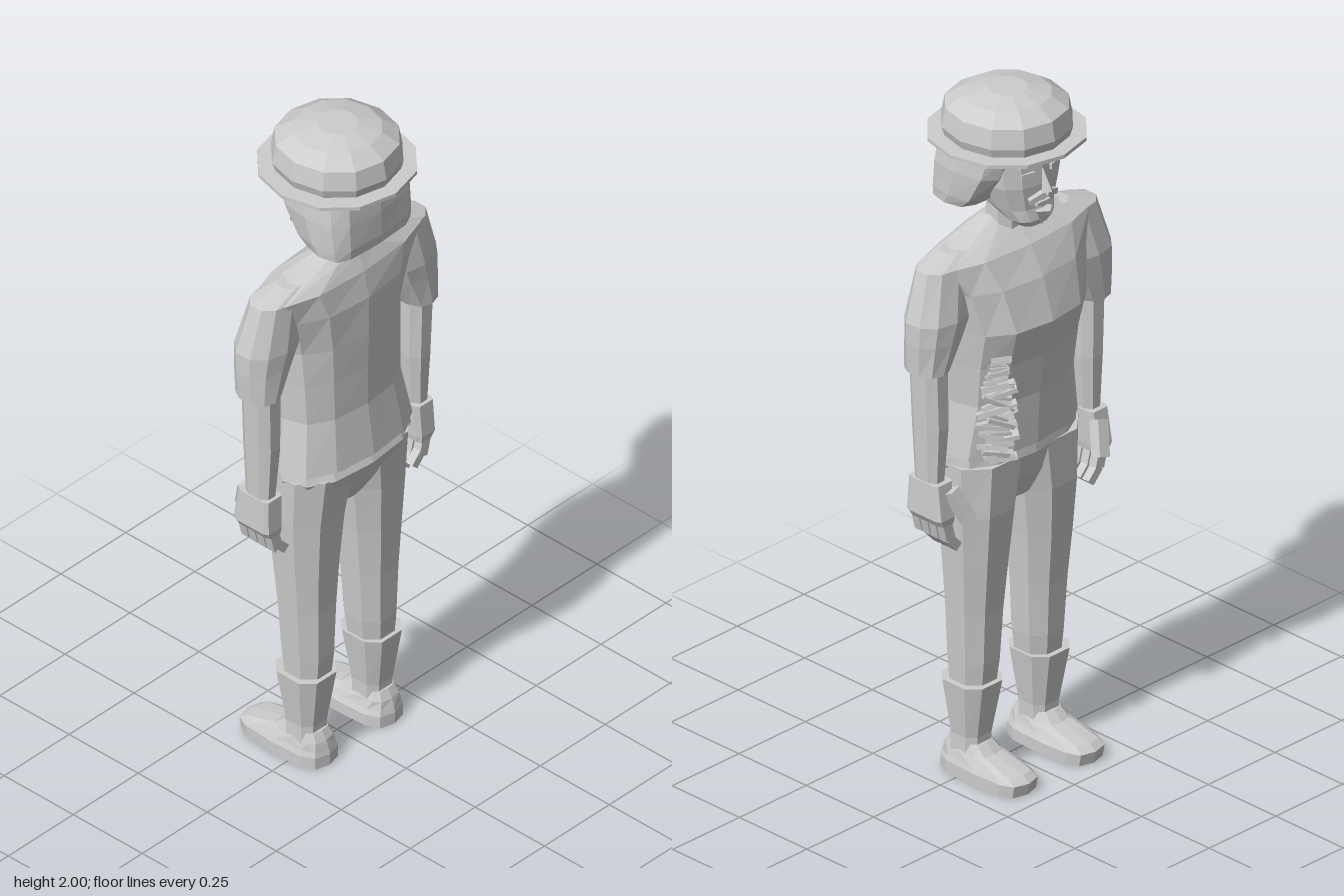
import * as THREE from 'three';

const gray = new THREE.MeshStandardMaterial({ color: 0xcccccc, flatShading: true });
gray.name = 'light gray';

// Horizontal ring, running from back (+z) round through +x; e below 1 makes it boxier
function ring(y, x0, x1, zBack, zFront, n = 12, e = 0.8) {
  const pow = v => Math.sign(v) * Math.pow(Math.abs(v) < 1e-9 ? 0 : Math.abs(v), e);
  return Array.from({ length: n }, (_, i) => {
    const a = ((i + (n === 8 ? 0.5 : 0)) / n) * Math.PI * 2;
    return [
      (x0 + x1) / 2 + (pow(Math.sin(a)) * (x1 - x0)) / 2,
      y,
      (zBack + zFront) / 2 + (pow(Math.cos(a)) * (zBack - zFront)) / 2,
    ];
  });
}

// Closed faceted skin over rings given from bottom to top
function loft(rings) {
  const p = [], n = rings[0].length;
  const tri = (...v) => v.forEach(q => p.push(...q));
  for (let i = 0; i < rings.length - 1; i++)
    for (let j = 0; j < n; j++) {
      const k = (j + 1) % n, [l, u] = [rings[i], rings[i + 1]];
      tri(l[j], l[k], u[k]);
      tri(l[j], u[k], u[j]);
    }
  const top = rings[rings.length - 1], low = rings[0];
  for (let j = 1; j < n - 1; j++) {
    tri(top[0], top[j], top[j + 1]);
    tri(low[0], low[j + 1], low[j]);
  }
  const g = new THREE.BufferGeometry();
  g.setAttribute('position', new THREE.Float32BufferAttribute(p, 3));
  g.computeVertexNormals();
  return g;
}

function add(parent, name, geometry, pos = [0, 0, 0], rot = [0, 0, 0]) {
  const m = new THREE.Mesh(geometry, gray);
  m.name = name;
  m.position.set(...pos);
  m.rotation.set(...rot);
  parent.add(m);
  return m;
}

const box = (x, y, z) => new THREE.BoxGeometry(x, y, z);
const stack = (rows, n, e) => loft(rows.map(r => ring(...r, n, e)));
// Rows of [y, halfWidth, back, front]
const body = (rows, n, e) => stack(rows.map(([y, w, b, f]) => [y, -w, w, b, f]), n, e);

function buildHead() {
  const head = new THREE.Group();
  head.name = 'head';
  add(head, 'neck', body([[1.56, 0.06, 0.055, -0.05], [1.72, 0.055, 0.05, -0.045]], 8));
  add(head, 'face', body([
    [1.635, 0.045, -0.06, -0.125], [1.655, 0.07, -0.03, -0.135], [1.69, 0.09, 0.03, -0.13],
    [1.76, 0.115, 0.06, -0.135], [1.87, 0.125, 0.08, -0.13],
  ], 12));
  // Long bobbed hair, cut back towards the jaw
  add(head, 'hair', body([
    [1.68, 0.155, 0.155, 0.005], [1.71, 0.16, 0.16, -0.035],
    [1.79, 0.163, 0.16, -0.09], [1.87, 0.155, 0.155, -0.12],
  ], 12, 0.55));
  add(head, 'nose', new THREE.ConeGeometry(0.02, 0.07, 4), [0, 1.775, -0.14], [0.25, 0, 0]);
  add(head, 'mouth', box(0.05, 0.009, 0.01), [0, 1.703, -0.133]);
  add(head, 'goatee', new THREE.ConeGeometry(0.03, 0.05, 5), [0, 1.66, -0.13], [Math.PI, 0, 0]);
  for (const s of [-1, 1]) {
    add(head, 'eyebrow', box(0.055, 0.013, 0.02), [s * 0.05, 1.825, -0.126], [0, s * -0.25, s * 0.2]);
    add(head, 'eye', box(0.042, 0.016, 0.008), [s * 0.05, 1.797, -0.127], [0, s * -0.25, 0]);
    add(head, 'moustache', box(0.05, 0.016, 0.02), [s * 0.025, 1.727, -0.135], [0, s * -0.25, s * -0.3]);
  }
  // Round hat with a narrow brim
  add(head, 'hatBrim', body([[1.863, 0.213, 0.213, -0.213], [1.874, 0.213, 0.213, -0.213]], 12, 0.95));
  add(head, 'hatCrown', body([
    [1.87, 0.165, 0.17, -0.17], [1.9, 0.175, 0.178, -0.178], [1.955, 0.165, 0.168, -0.168],
    [1.985, 0.12, 0.12, -0.12], [2, 0.055, 0.055, -0.055],
  ], 12, 0.95));
  return head;
}

function buildArm() {
  const arm = new THREE.Group();
  arm.name = 'arm';
  add(arm, 'sleeve', stack([
    [1.27, 0.25, 0.355, 0.062, -0.065], [1.36, 0.2, 0.362, 0.065, -0.075],
    [1.42, 0.17, 0.362, 0.07, -0.08], [1.56, 0.15, 0.32, 0.06, -0.055],
    [1.585, 0.1, 0.23, 0.05, -0.03],
  ], 10, 0.9));
  add(arm, 'forearm', stack([
    [0.92, 0.265, 0.32, 0.04, -0.045], [1.1, 0.25, 0.328, 0.052, -0.055], [1.3, 0.25, 0.338, 0.055, -0.055],
  ], 8));
  add(arm, 'palm', stack([
    [0.82, 0.265, 0.315, 0.052, -0.072], [0.84, 0.262, 0.328, 0.055, -0.075], [0.94, 0.258, 0.325, 0.05, -0.06],
  ], 8, 0.3));
  for (let i = 0; i < 4; i++) {
    const z = 0.037 - i * 0.031, drop = i === 0 ? 0.015 : 0;
    add(arm, 'finger', box(0.032, 0.065, 0.026), [0.287, 0.805, z], [0, 0, -0.25]);
    add(arm, 'fingertip', box(0.026, 0.05, 0.024), [0.264, 0.757 + drop, z], [0, 0, -0.75]);
  }
  add(arm, 'thumb', box(0.035, 0.1, 0.035), [0.262, 0.875, -0.085], [0.4, 0, -0.3]);
  return arm;
}

function buildLeg() {
  const leg = new THREE.Group();
  leg.name = 'leg';
  add(leg, 'trouserLeg', stack([
    [0.24, 0.065, 0.18, 0.07, -0.055], [0.34, 0.052, 0.188, 0.078, -0.067],
    [0.5, 0.042, 0.198, 0.082, -0.077], [0.65, 0.03, 0.21, 0.09, -0.092],
    [0.8, 0.012, 0.222, 0.1, -0.105], [0.95, -0.02, 0.228, 0.115, -0.11],
  ], 8, 0.85));
  add(leg, 'bootShaft', stack([
    [0.06, 0.075, 0.18, 0.06, -0.045], [0.12, 0.075, 0.178, 0.06, -0.045], [0.28, 0.052, 0.2, 0.085, -0.075],
  ], 8, 0.7));
  add(leg, 'shoe', stack([
    [0, 0.058, 0.192, 0.092, -0.2], [0.035, 0.058, 0.192, 0.092, -0.207],
    [0.05, 0.066, 0.186, 0.088, -0.185], [0.075, 0.075, 0.178, 0.08, -0.08], [0.1, 0.085, 0.17, 0.065, -0.05],
  ], 12, 0.6));
  return leg;
}

// Ragged strips bursting from the front of the waist on the +x side
function buildTear() {
  const tear = new THREE.Group();
  tear.name = 'tornShirt';
  let seed = 7;
  const rnd = () => (seed = (seed * 16807) % 2147483647) / 2147483647;
  for (let i = 0; i < 34; i++) {
    const t = i / 33, y = 0.975 + t * 0.3;
    const spread = 0.06 * Math.min(1, 0.45 + t * 2) * (1 - 0.75 * t);
    const u = (rnd() - 0.5) * spread;
    add(tear, 'tornStrip', box(0.035 + spread * (0.6 + rnd()), 0.008 + rnd() * 0.008, 0.035 + rnd() * 0.02),
      [0.135 + u * 0.8, y, -0.1 + u * 0.6], [(rnd() - 0.5) * 0.7, -0.65, (rnd() - 0.5) * 0.7]);
  }
  return tear;
}

export function createModel() {
  const model = new THREE.Group();
  model.name = 'standingMan';
  add(model, 'shirt', body([
    [0.975, 0.232, 0.135, -0.115], [1.13, 0.203, 0.112, -0.122], [1.25, 0.208, 0.112, -0.14],
    [1.36, 0.215, 0.115, -0.172], [1.48, 0.245, 0.115, -0.135], [1.56, 0.295, 0.1, -0.09],
    [1.605, 0.13, 0.078, -0.04], [1.63, 0.06, 0.055, -0.01],
  ], 12, 0.85));
  add(model, 'hips', body([
    [0.8, 0.07, 0.06, -0.06], [0.87, 0.18, 0.1, -0.09], [0.945, 0.225, 0.13, -0.11], [0.985, 0.222, 0.11, -0.105],
  ], 12, 0.8));
  model.add(buildHead(), buildTear());
  // Limbs: the -x side is turned inside out by mirroring, which the renderer corrects
  for (const s of [1, -1]) {
    const limbs = new THREE.Group();
    limbs.name = s > 0 ? 'leftLimbs' : 'rightLimbs';
    limbs.add(buildArm(), buildLeg());
    limbs.scale.x = s;
    model.add(limbs);
  }
  return model;
}
